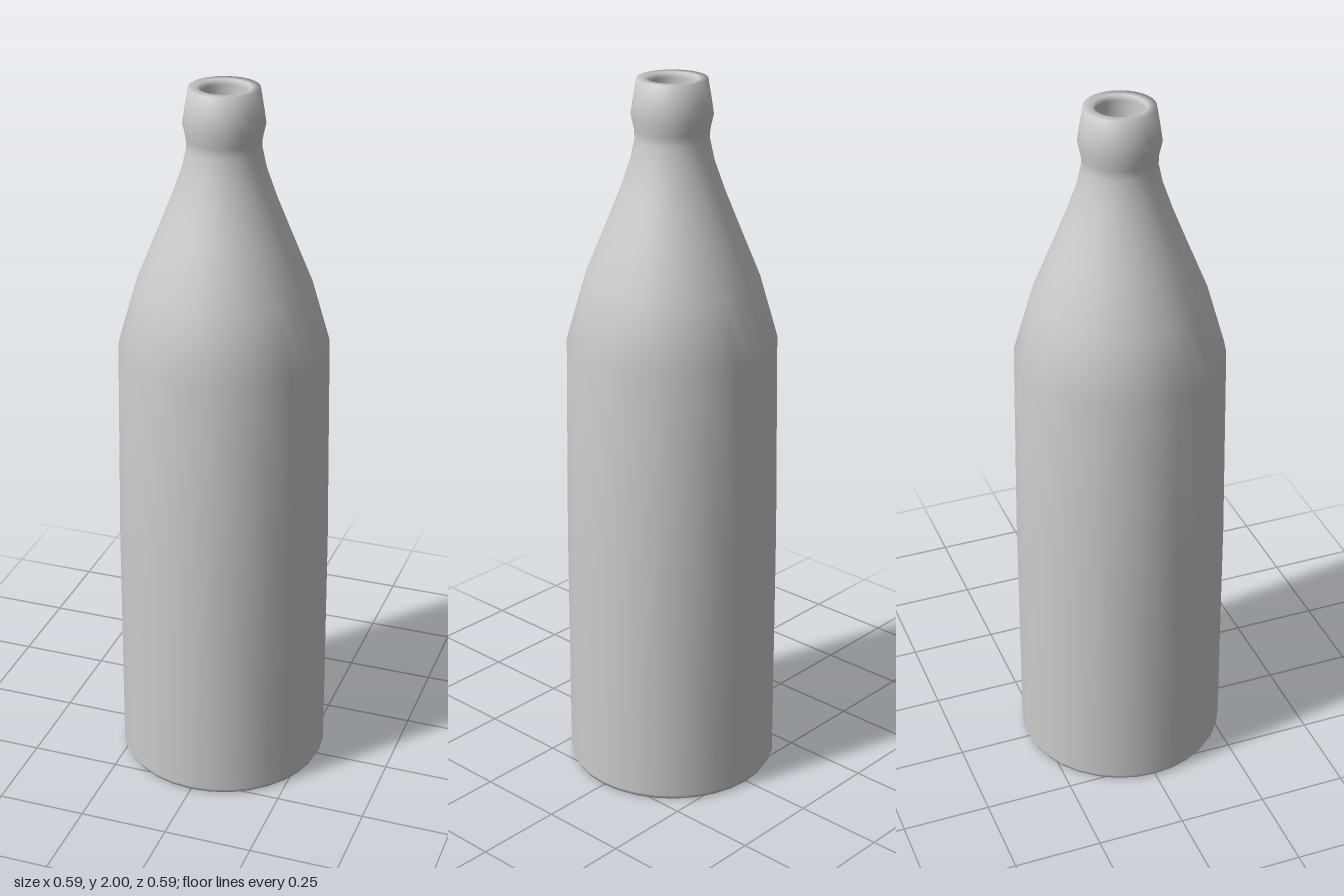
import * as THREE from 'three';

export function createModel() {
  const group = new THREE.Group();
  group.name = 'bottle';
  const material = new THREE.MeshStandardMaterial({ color: 0xcccccc });

  // One continuous profile [radius, height], from the hollow base up and into the mouth
  const profile = [
    // hollow under the base
    [0, 0.06], [0.08, 0.055], [0.14, 0.035], [0.168, 0.005],
    // base ring and rounded heel
    [0.185, 0], [0.288, 0], [0.296, 0.015],
    // slightly tapered body
    [0.295, 0.7], [0.287, 1.285],
    // shoulder and neck
    [0.237, 1.46], [0.18, 1.6], [0.14, 1.7], [0.112, 1.78], [0.099, 1.84],
    // lip
    [0.1, 1.865], [0.109, 1.905], [0.104, 1.94], [0.094, 2],
    // rim and inside of the mouth
    [0.068, 2], [0.065, 1.985], [0.064, 1.88], [0.05, 1.8], [0, 1.78],
  ].map(([r, y]) => new THREE.Vector2(r, y));

  const body = new THREE.Mesh(new THREE.LatheGeometry(profile, 32), material);
  body.name = 'bottleBody';
  group.add(body);
  return group;
}
